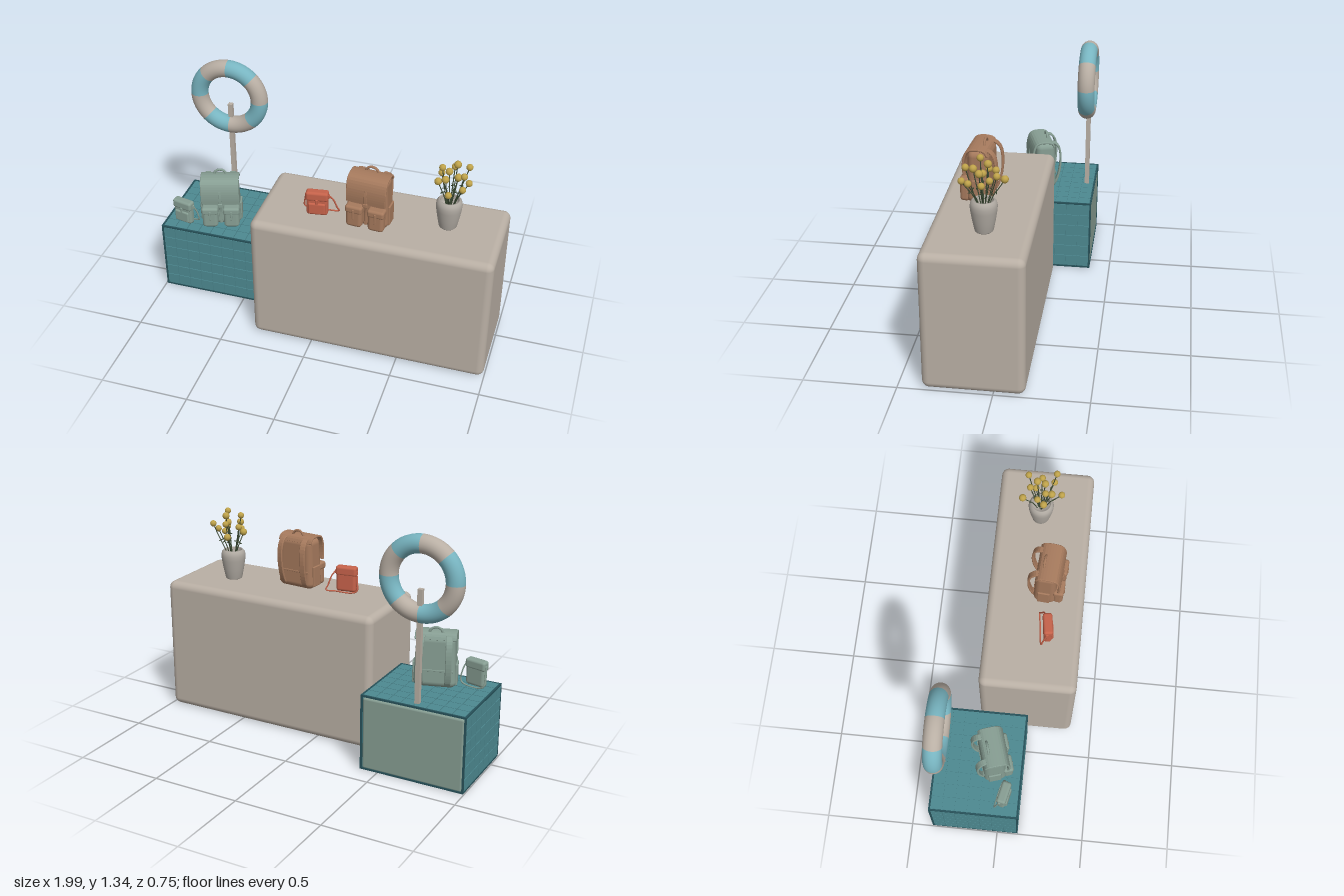
import * as THREE from 'three';
import { mergeGeometries } from 'three/addons/utils/BufferGeometryUtils.js';
import { RoundedBoxGeometry } from 'three/addons/geometries/RoundedBoxGeometry.js';

const mat = (name, color) => {
  const m = new THREE.MeshStandardMaterial({ color });
  m.name = name;
  return m;
};
const M = {
  beige: mat('beige', 0xb9afa4), teal: mat('teal', 0x4d8991), darkTeal: mat('dark teal', 0x27525a),
  blue: mat('light blue', 0x78b5c1), brown: mat('brown leather', 0xa67a5d), sage: mat('sage', 0x879e93),
  orange: mat('orange leather', 0xc5624a), stone: mat('stone', 0xb0aaa2),
  yellow: mat('yellow', 0xbea24a), green: mat('stem green', 0x3c4a34),
};

function add(parent, name, geo, material, x = 0, y = 0, z = 0) {
  const mesh = new THREE.Mesh(geo, material);
  mesh.name = name;
  mesh.position.set(x, y, z);
  parent.add(mesh);
  return mesh;
}
function group(parent, name, x = 0, y = 0, z = 0, ry = 0) {
  const g = new THREE.Group();
  g.name = name;
  g.position.set(x, y, z);
  g.rotation.y = ry;
  parent.add(g);
  return g;
}
const rbox = (w, h, d, r) => new RoundedBoxGeometry(w, h, d, 4, r);
const v3 = (p) => new THREE.Vector3(...p);
const tube = (pts, r, n = 24) => new THREE.TubeGeometry(new THREE.CatmullRomCurve3(pts.map(v3)), n, r, 6);

// Strip of given width (along x) that follows a side profile of [z, y] points
function band(profile, width, thick) {
  const curve = new THREE.SplineCurve(profile.map((p) => new THREE.Vector2(...p)));
  const outer = [], inner = [];
  for (let i = 0; i <= 20; i++) {
    const p = curve.getPoint(i / 20), t = curve.getTangent(i / 20);
    const n = new THREE.Vector2(-t.y, t.x).multiplyScalar(thick / 2);
    outer.push(p.clone().add(n));
    inner.unshift(p.clone().sub(n));
  }
  const b = Math.min(0.003, thick / 4);
  const geo = new THREE.ExtrudeGeometry(new THREE.Shape([...outer, ...inner]), {
    depth: width - 2 * b, bevelEnabled: true, bevelSize: b, bevelThickness: b, bevelOffset: -b, bevelSegments: 1,
  });
  geo.translate(0, 0, -width / 2 + b);
  return geo.rotateY(-Math.PI / 2);
}

// Box narrowed towards the top
function taperedBox(w, h, d, r, taper) {
  const geo = rbox(w, h, d, r), p = geo.attributes.position;
  for (let i = 0; i < p.count; i++) {
    const k = 1 - taper * (p.getY(i) / h + 0.5);
    p.setX(i, p.getX(i) * k);
    p.setZ(i, p.getZ(i) * k);
  }
  return geo;
}

function backpack(parent, name, m, x, y, z, ry) {
  const g = group(parent, name, x, y, z, ry);
  add(g, 'bagBody', taperedBox(0.235, 0.292, 0.13, 0.035, 0.12), m, 0, 0.146, 0);
  add(g, 'topFlap', band([[-0.052, 0.27], [-0.035, 0.296], [0.01, 0.303], [0.055, 0.292], [0.074, 0.25],
    [0.078, 0.2], [0.074, 0.155]], 0.222, 0.012), m);
  const handle = add(g, 'topHandle', new THREE.TorusGeometry(0.036, 0.007, 8, 16, Math.PI), m, 0, 0.296, -0.02);
  handle.scale.y = 1.0;
  add(g, 'centreStrap', band([[0.08, 0.24], [0.085, 0.2], [0.082, 0.15], [0.073, 0.1], [0.071, 0.02]], 0.016, 0.006), m);
  add(g, 'buckle', rbox(0.026, 0.024, 0.012, 0.004), m, 0, 0.15, 0.083);
  for (const s of [-1, 1]) {
    add(g, 'frontPocket', rbox(0.09, 0.125, 0.055, 0.02), m, s * 0.062, 0.066, 0.073);
    add(g, 'pocketFlap', rbox(0.096, 0.045, 0.06, 0.014), m, s * 0.062, 0.115, 0.074);
    add(g, 'pocketStrap', rbox(0.012, 0.06, 0.008, 0.003), m, s * 0.062, 0.09, 0.103);
    add(g, 'sideSeam', rbox(0.012, 0.12, 0.07, 0.005), m, s * 0.115, 0.075, -0.005);
    const strap = add(g, 'shoulderStrap', band([[-0.02, 0.29], [-0.06, 0.288], [-0.088, 0.25], [-0.096, 0.18],
      [-0.088, 0.1], [-0.07, 0.04], [-0.055, 0.02]], 0.034, 0.012), m, s * 0.065, 0, 0);
    strap.rotation.y = s * -0.12;
  }
  add(g, 'backSeam', rbox(0.2, 0.01, 0.006, 0.002), m, 0, 0.1, -0.063);
}

function smallBag(parent, name, m, x, y, z, ry, strap) {
  const g = group(parent, name, x, y, z, ry);
  add(g, 'smallBody', rbox(0.118, 0.148, 0.045, 0.018), m, 0, 0.074, 0);
  add(g, 'smallFlap', rbox(0.124, 0.055, 0.052, 0.014), m, 0, 0.122, 0.001);
  add(g, 'smallPocket', rbox(0.094, 0.07, 0.02, 0.009), m, 0, 0.048, 0.022);
  add(g, 'smallClasp', rbox(0.014, 0.03, 0.008, 0.003), m, 0, 0.092, 0.028);
  for (const s of [-1, 1]) add(g, 'strapRing', rbox(0.01, 0.024, 0.016, 0.004), m, s * 0.062, 0.115, -0.006);
  add(g, 'carryStrap', tube(strap, 0.0045, 40), m);
}

// Panel of square tiles facing +z with narrow grooves
function tilePanel(parent, name, w, h, nx, ny) {
  const tw = w / nx, th = h / ny, parts = [];
  const back = new THREE.BoxGeometry(w, h, 0.004).translate(0, 0, -0.008);
  parts.push(back);
  for (let i = 0; i < nx; i++) for (let j = 0; j < ny; j++) {
    parts.push(new THREE.BoxGeometry(tw - 0.004, th - 0.004, 0.008)
      .translate((i + 0.5) * tw - w / 2, (j + 0.5) * th - h / 2, -0.004));
  }
  return add(parent, name, mergeGeometries(parts), M.teal);
}

function tiledPlinth(parent) {
  const W = 0.6, H = 0.435, D = 0.5, e = 0.01;
  const g = group(parent, 'tiledPlinth', -0.695, 0, -0.13);
  add(g, 'plinthCore', rbox(W - 0.022, H - 0.02, D - 0.014, 0.012), M.sage, 0, H / 2 - 0.006, -0.004);
  tilePanel(g, 'frontTiles', W - 2 * e, H - 2 * e, 8, 6).position.set(0, H / 2, D / 2);
  const top = tilePanel(g, 'topTiles', W - 2 * e, D - 2 * e, 8, 7);
  top.rotation.x = -Math.PI / 2;
  top.position.y = H;
  for (const s of [-1, 1]) {
    const side = tilePanel(g, 'sideTiles', D - 2 * e, H - 2 * e, 7, 6);
    side.rotation.y = s * Math.PI / 2;
    side.position.set(s * W / 2, H / 2, 0);
    // Dark edge trim
    for (const t of [-1, 1]) {
      const a = (half) => half - e / 2;
      add(g, 'edgeTrim', new THREE.BoxGeometry(e, H, e), M.darkTeal, s * a(W / 2), H / 2, t * a(D / 2));
      add(g, 'edgeTrim', new THREE.BoxGeometry(W - 2 * e, e, e), M.darkTeal, 0, H / 2 + s * a(H / 2), t * a(D / 2));
      add(g, 'edgeTrim', new THREE.BoxGeometry(e, e, D - 2 * e), M.darkTeal, s * a(W / 2), H / 2 + t * a(H / 2), 0);
    }
  }
}

function flowerVase(parent) {
  const g = group(parent, 'flowerVase');
  const cx = 0.69, cz = 0.085;
  const outline = [[0, 0], [0.044, 0], [0.049, 0.006], [0.06, 0.06], [0.069, 0.115], [0.071, 0.142], [0.067, 0.162],
    [0.057, 0.174], [0.052, 0.176], [0.05, 0.168], [0.05, 0.12], [0, 0.11]].map((p) => new THREE.Vector2(...p));
  add(g, 'vase', new THREE.LatheGeometry(outline, 32), M.stone, cx, 0.78, cz);
  const heads = [[0.66, 1.057, -0.018], [0.77, 1.12, 0.005], [0.635, 1.1, 0.065], [0.715, 1.16, 0.057],
    [0.785, 1.07, 0.08], [0.645, 1.16, 0.107], [0.73, 1.11, 0.1], [0.77, 1.16, 0.16], [0.7, 1.053, 0.195],
    [0.67, 1.11, 0.14], [0.695, 1.12, 0.02], [0.72, 1.07, 0.05], [0.625, 1.065, 0.1], [0.765, 1.07, 0.15]];
  heads.forEach(([x, y, z], i) => {
    const mix = (a, b, t) => a + (b - a) * t;
    const at = (t, yy) => [mix(cx, x, t), yy, mix(cz, z, t)];
    add(g, 'flowerStem', tube([at(0.2, 0.9), at(0.45, 0.97), at(0.8, mix(0.97, y, 0.6)), [x, y, z]], 0.0028, 10), M.green);
    add(g, 'flowerHead', new THREE.SphereGeometry(i % 3 ? 0.0185 : 0.0205, 14, 10), M.yellow, x, y, z);
    // Small leaf along the stem
    const leaf = add(g, 'leaf', new THREE.SphereGeometry(0.014, 6, 4), M.green, ...at(0.6, mix(0.95, y, 0.4)));
    leaf.scale.set(0.25, 1.2, 0.25);
    leaf.rotation.set(i, 0, i * 0.7);
  });
}

export function createModel() {
  const model = new THREE.Group();
  model.name = 'displayStand';

  // Large rounded counter
  add(model, 'counter', rbox(1.34, 0.78, 0.54, 0.04), M.beige, 0.325, 0.39, 0.105);
  tiledPlinth(model);

  // Life ring on a square post
  add(model, 'ringPost', new THREE.BoxGeometry(0.026, 0.63, 0.026), M.beige, -0.702, 0.745, -0.329);
  const ring = group(model, 'lifeRing', -0.703, 1.11, -0.322);
  for (let k = 0; k < 8; k++) {
    const part = add(ring, 'ringSection', new THREE.TorusGeometry(0.183, 0.05, 24, 12, Math.PI / 4), k % 2 ? M.blue : M.beige);
    part.rotation.z = k * Math.PI / 4;
  }

  // Bags
  backpack(model, 'brownBackpack', M.brown, 0.278, 0.78, 0.16, -0.08);
  backpack(model, 'sageBackpack', M.sage, -0.68, 0.435, -0.055, 0.3);
  smallBag(model, 'orangeBag', M.orange, -0.012, 0.78, 0.185, 0.14,
    [[0.062, 0.12, -0.006], [0.085, 0.09, -0.015], [0.105, 0.03, -0.028], [0.115, 0.006, -0.036], [0.05, 0.005, -0.036],
      [-0.04, 0.005, -0.04], [-0.075, 0.02, -0.038], [-0.072, 0.07, -0.025], [-0.062, 0.12, -0.006]]);
  smallBag(model, 'sageBag', M.sage, -0.882, 0.435, 0.032, -0.22,
    [[0.062, 0.12, -0.006], [0.075, 0.08, -0.02], [0.08, 0.02, -0.03], [0.06, 0.006, -0.036],
      [-0.04, 0.005, -0.036], [-0.07, 0.02, -0.034], [-0.07, 0.07, -0.022], [-0.062, 0.12, -0.006]]);

  flowerVase(model);
  return model;
}
